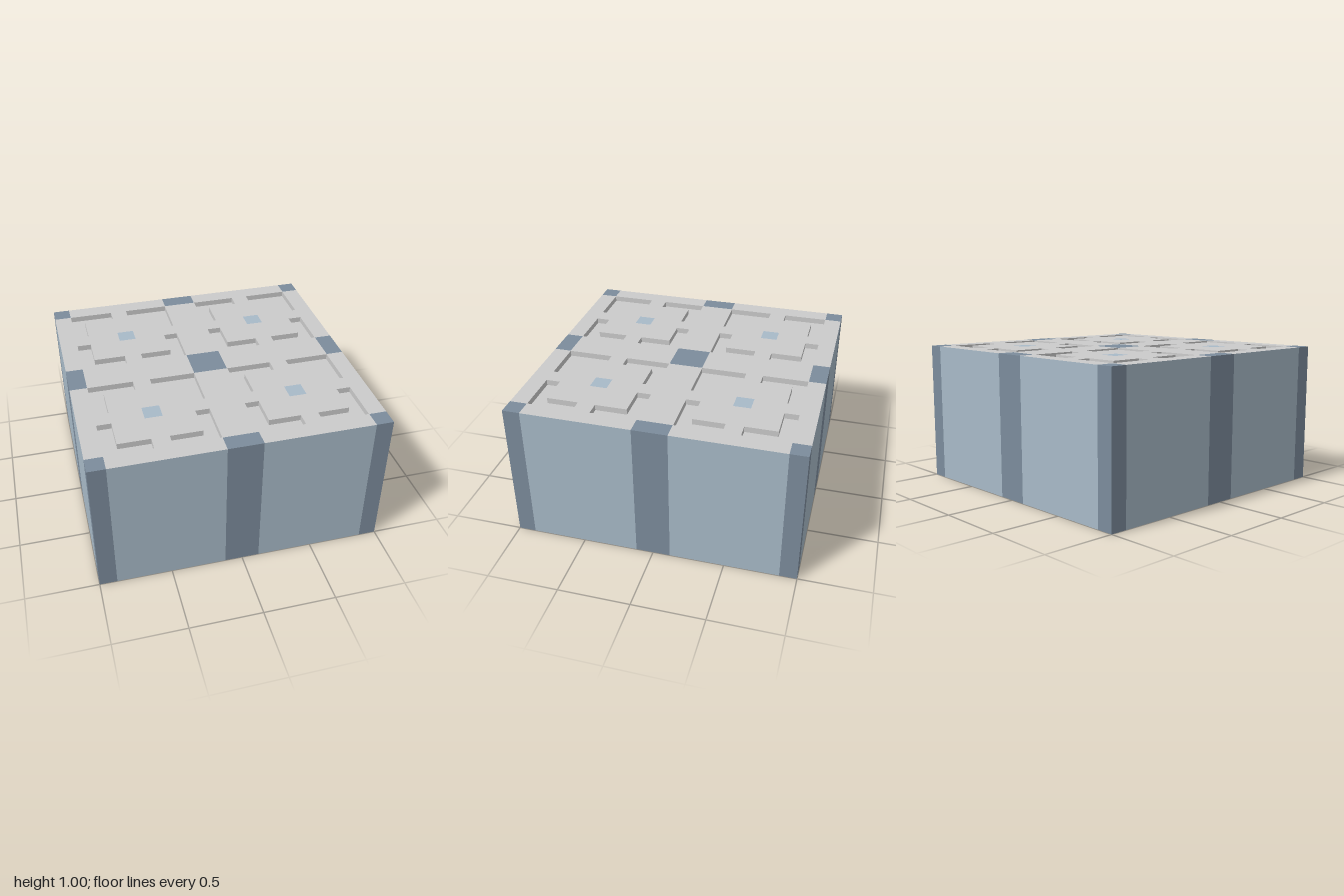
import * as THREE from 'three';

const grey = new THREE.MeshStandardMaterial({ color: 0xcccccc });
const light = new THREE.MeshStandardMaterial({ color: 0xa8bac8 });
const dark = new THREE.MeshStandardMaterial({ color: 0x7c8c9c });

const POST = 0.12;    // corner post width
const INNER = 0.76;   // clear span between posts
const DEPTH = 0.04;   // groove depth

// Box standing on y = base, with separate side, top and bottom materials
function block(name, [w, h, d], [x, base, z], side, top = side, bottom = side) {
  const mesh = new THREE.Mesh(new THREE.BoxGeometry(w, h, d), [side, side, top, bottom, side, side]);
  mesh.position.set(x, base + h / 2, z);
  mesh.name = name;
  return mesh;
}

const points = (list) => list.map(([x, y]) => new THREE.Vector2(x, y));
const square = (r) => points([[-r, -r], [r, -r], [r, r], [-r, r]]);

// Top plate pierced by four corner brackets and a central square
function plateGeometry() {
  const shape = new THREE.Shape(square(INNER / 2));
  const a = INNER / 2 - 0.002, b = 0.28, c = 0.06;
  for (const sx of [-1, 1]) for (const sy of [-1, 1]) {
    const bracket = [[a, a], [c, a], [c, b], [b, b], [b, c], [a, c]];
    shape.holes.push(new THREE.Path(points(bracket.map(([x, y]) => [x * sx, y * sy]))));
  }
  shape.holes.push(new THREE.Path(square(c)));
  return new THREE.ExtrudeGeometry(shape, { depth: DEPTH, bevelEnabled: false }).rotateX(-Math.PI / 2);
}

// One square cell: posts, walls, core, grooved plate and inlay
function createCell(plate) {
  const cell = new THREE.Group();
  const edge = 0.5 - POST / 2;
  for (const s of [-1, 1]) {
    for (const t of [-1, 1]) cell.add(block('cornerPost', [POST, 1, POST], [s * edge, 0, t * edge], dark));
    cell.add(block('sideWall', [POST, 1, INNER], [s * edge, 0, 0], light, grey, dark));
    cell.add(block('endWall', [INNER, 1, POST], [0, 0, s * edge], light, grey, dark));
  }
  cell.add(block('core', [INNER, 1 - DEPTH, INNER], [0, 0, 0], light, grey, light));
  cell.add(block('centreInlay', [0.12, DEPTH, 0.12], [0, 1 - DEPTH, 0], light));
  const top = new THREE.Mesh(plate, grey);
  top.position.y = 1 - DEPTH;
  top.name = 'groovedPlate';
  cell.add(top);
  return cell;
}

export function createModel() {
  const model = new THREE.Group();
  model.name = 'tiledBlock';
  const plate = plateGeometry();
  for (const x of [-0.5, 0.5]) for (const z of [-0.5, 0.5]) {
    const cell = createCell(plate);
    cell.name = 'cell';
    cell.position.set(x, 0, z);
    model.add(cell);
  }
  return model;
}
